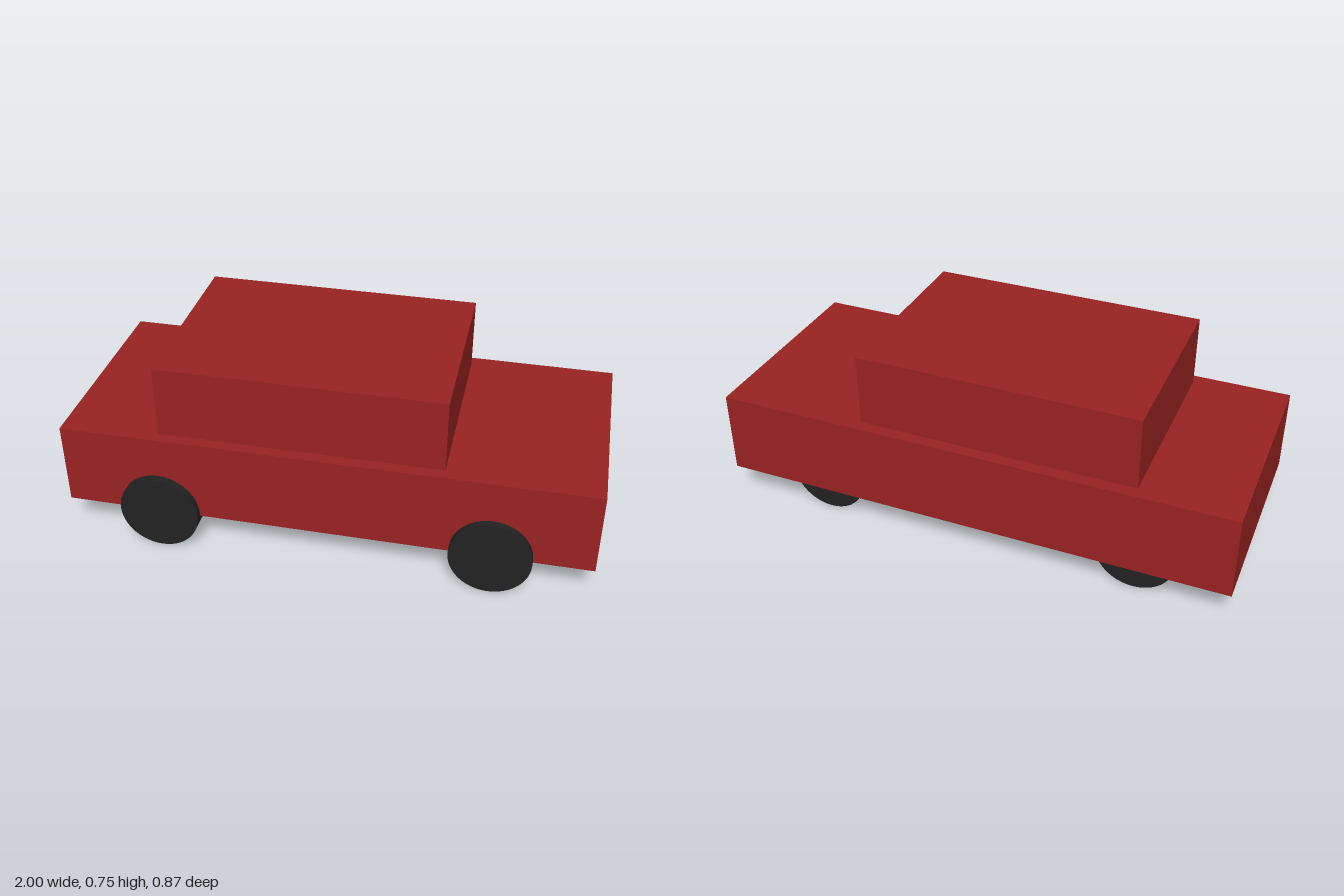
import * as THREE from 'three';

export function createModel() {
  const car = new THREE.Group();
  car.name = 'car';

  const paint = new THREE.MeshStandardMaterial({ color: 0x992222 });
  paint.name = 'red paint';
  const rubber = new THREE.MeshStandardMaterial({ color: 0x222222 });
  rubber.name = 'black rubber';

  // Box given by its lower and upper corners
  function box(name, [x0, y0, z0], [x1, y1, z1]) {
    const mesh = new THREE.Mesh(new THREE.BoxGeometry(x1 - x0, y1 - y0, z1 - z0), paint);
    mesh.position.set((x0 + x1) / 2, (y0 + y1) / 2, (z0 + z1) / 2);
    mesh.name = name;
    car.add(mesh);
  }
  box('body', [-1, 0.142, -0.432], [1, 0.467, 0.404]);
  box('cabin', [-0.63, 0.467, -0.385], [0.439, 0.745, 0.358]);

  // Four wheels: one pair stands proud of the body, the other sits beneath it
  const radius = 0.153;
  const wheelGeometry = new THREE.CylinderGeometry(radius, radius, 0.102, 48).rotateX(Math.PI / 2);
  for (const [end, x] of [['right', -0.63], ['left', 0.625]]) {
    for (const [side, z] of [['front', 0.382], ['back', -0.306]]) {
      const wheel = new THREE.Mesh(wheelGeometry, rubber);
      wheel.position.set(x, radius, z);
      wheel.name = `${side} ${end} wheel`;
      car.add(wheel);
    }
  }
  return car;
}
